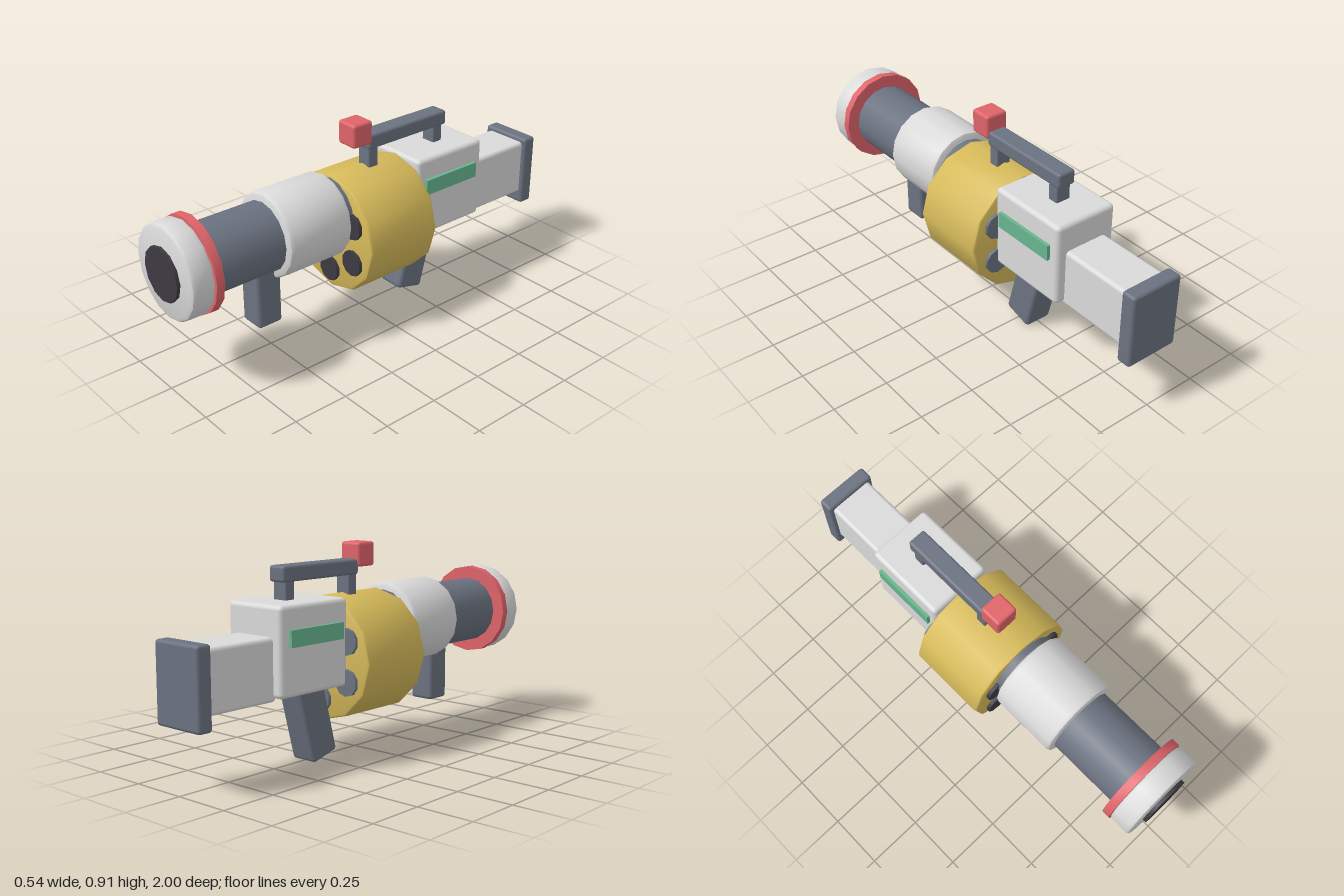
import * as THREE from 'three';
import { toCreasedNormals } from 'three/addons/utils/BufferGeometryUtils.js';
import { RoundedBoxGeometry } from 'three/addons/geometries/RoundedBoxGeometry.js';

const mat = (name, color) => {
  const m = new THREE.MeshStandardMaterial({ color });
  m.name = name;
  return m;
};

export function createModel() {
  const model = new THREE.Group();
  model.name = 'launcher';
  const white = mat('pale grey', 0xdadada);
  const gun = mat('gunmetal', 0x6b7280);
  const yellow = mat('mustard', 0xd6ba5a);
  const red = mat('coral red', 0xdf646a);
  const green = mat('mint green', 0x68b58f);
  const black = mat('bore black', 0x3d3b42);

  const add = (name, geo, material, x, y, z) => {
    const mesh = new THREE.Mesh(geo, material);
    mesh.name = name;
    mesh.position.set(x, y, z);
    model.add(mesh);
    return mesh;
  };

  // Box given by its limits on each axis, with softened edges
  const box = (name, material, [x0, x1], [y0, y1], [z0, z1], r = 0.015) =>
    add(name, new RoundedBoxGeometry(x1 - x0, y1 - y0, z1 - z0, 2, r), material,
      (x0 + x1) / 2, (y0 + y1) / 2, (z0 + z1) / 2);

  // Round part along z with bevelled rims
  const round = (name, material, radius, z0, z1, bevel, sides, x, y) => {
    const pts = [[0, z0], [radius - bevel, z0]];
    if (bevel) {
      const k = bevel * 0.3;
      pts.push([radius - k, z0 + k], [radius, z0 + bevel], [radius, z1 - bevel], [radius - k, z1 - k]);
    } else pts.push([radius, z1]);
    if (bevel) pts.push([radius - bevel, z1]);
    pts.push([0, z1]);
    const lathe = new THREE.LatheGeometry(pts.map(p => new THREE.Vector2(...p)), sides);
    lathe.rotateX(Math.PI / 2);
    return add(name, toCreasedNormals(lathe, 0.75), material, x, y, 0);
  };

  // Barrel and muzzle
  const axis = 0.535;
  round('barrelTube', gun, 0.153, 0.1, 0.86, 0, 16, 0, axis);
  round('barrelSleeve', white, 0.188, 0.193, 0.513, 0.02, 16, 0, axis);
  round('muzzleBand', red, 0.21, 0.845, 0.882, 0, 16, 0, axis);
  round('muzzleCap', white, 0.205, 0.88, 0.985, 0.018, 16, 0, axis);
  round('bore', black, 0.117, 0.9, 1.0, 0, 12, 0, axis);

  // Drum magazine with six chambers showing at both ends
  const drumY = 0.43;
  round('drum', yellow, 0.27, -0.213, 0.16, 0.014, 12, 0, drumY);
  for (let i = 0; i < 6; i++) {
    const a = Math.PI / 6 + i * Math.PI / 3;
    const x = 0.174 * Math.cos(a), y = drumY + 0.174 * Math.sin(a);
    round('chamberFront', black, 0.058, 0.1, 0.177, 0, 10, x, y);
    round('chamberBack', gun, 0.058, -0.228, -0.15, 0, 10, x, y);
  }

  // Receiver, stock and butt plate
  box('receiver', white, [-0.15, 0.15], [0.33, 0.702], [-0.6, -0.21], 0.02);
  box('stock', white, [-0.105, 0.105], [0.315, 0.576], [-0.95, -0.58], 0.018);
  box('buttPlate', gun, [-0.125, 0.125], [0.26, 0.596], [-1.0, -0.931], 0.014);

  // Side panels
  for (const s of [-1, 1]) {
    add(s > 0 ? 'leftPanel' : 'rightPanel', new THREE.BoxGeometry(0.03, 0.07, 0.305), green,
      s * 0.15, 0.57, -0.403);
  }

  // Carry handle and front sight
  box('handleBar', gun, [-0.043, 0.043], [0.775, 0.842], [-0.475, -0.02], 0.012);
  box('handlePostFront', gun, [-0.035, 0.035], [0.66, 0.79], [-0.077, -0.025], 0.006);
  box('handlePostBack', gun, [-0.035, 0.035], [0.66, 0.79], [-0.457, -0.405], 0.006);
  box('sight', red, [-0.053, 0.053], [0.807, 0.913], [-0.031, 0.073], 0.013);

  // Grips
  box('foreGrip', gun, [-0.06, 0.06], [0.14, 0.42], [0.476, 0.596], 0.016);
  const grip = box('rearGrip', gun, [-0.066, 0.066], [0.013, 0.355], [-0.371, -0.225], 0.018);
  grip.rotation.x = -0.26;

  return model;
}
